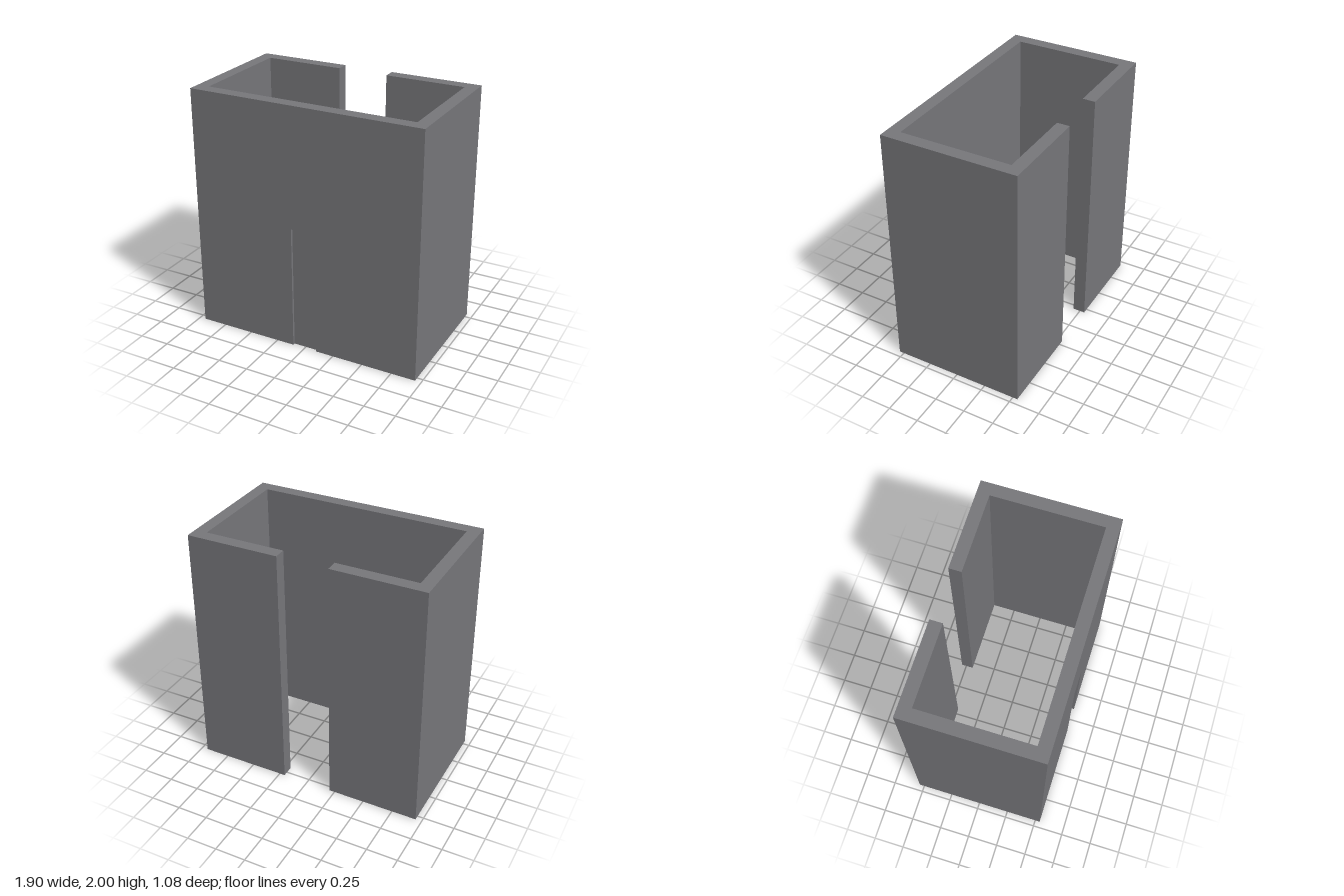
import * as THREE from 'three';

const W = 0.95, D = 0.54, H = 2, T = 0.1; // half width, half depth, height, wall thickness
const DOOR_W = 0.103, DOOR_H = 1.02, GAP = 0.205;

export function createModel() {
  const model = new THREE.Group();
  model.name = 'roofless building';
  const concrete = new THREE.MeshStandardMaterial({ color: 0x77777b });
  concrete.name = 'grey concrete';

  const add = (name, geometry) => {
    const mesh = new THREE.Mesh(geometry, concrete);
    mesh.name = name;
    model.add(mesh);
    return mesh;
  };
  const polygon = (points) => new THREE.Shape(points.map(([x, y]) => new THREE.Vector2(x, y)));

  // Side and back walls: one C-shaped plan with a full-height gap at the back
  const z = D - T, x = W - T;
  const plan = polygon([
    [-W, -z], [-x, -z], [-x, z], [-GAP, z], [-GAP, D], [-W, D],
  ]);
  const planRight = polygon([
    [W, -z], [W, D], [GAP, D], [GAP, z], [x, z], [x, -z],
  ]);
  [['rightWall', plan], ['leftWall', planRight]].forEach(([name, shape]) => {
    const g = new THREE.ExtrudeGeometry(shape, { depth: H, bevelEnabled: false });
    add(name, g.rotateX(-Math.PI / 2));
  });

  // Front wall with a doorway notched out of its base
  const front = polygon([
    [-W, 0], [-DOOR_W, 0], [-DOOR_W, DOOR_H], [DOOR_W, DOOR_H],
    [DOOR_W, 0], [W, 0], [W, H], [-W, H],
  ]);
  add('frontWall', new THREE.ExtrudeGeometry(front, { depth: T, bevelEnabled: false }))
    .position.z = D - T;

  // Door panel set back inside the doorway
  add('door', new THREE.BoxGeometry(DOOR_W * 2, DOOR_H, 0.035))
    .position.set(0, DOOR_H / 2, D - 0.0375);

  return model;
}
